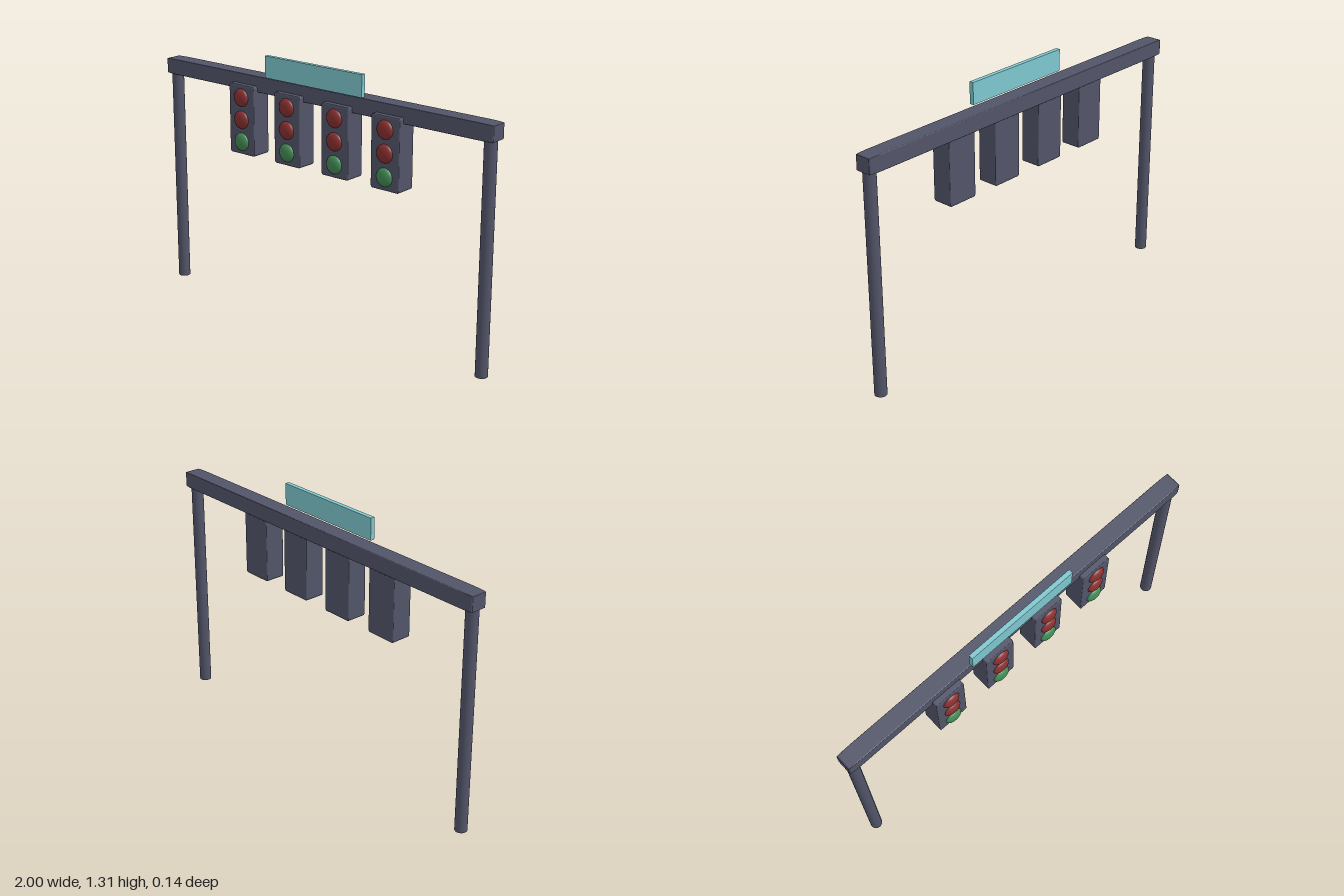
import * as THREE from 'three';
import { RoundedBoxGeometry } from 'three/addons/geometries/RoundedBoxGeometry.js';

const paint = (name, color) => {
  const m = new THREE.MeshStandardMaterial({ color });
  m.name = name;
  return m;
};

export function createModel() {
  const steel = paint('slate steel', 0x525569);
  const red = paint('red lens', 0x8a3030);
  const green = paint('green lens', 0x438a55);
  const teal = paint('teal sign', 0x7fc8d0);

  const root = new THREE.Group();
  root.name = 'signalGantry';

  const add = (parent, name, geometry, material, x, y, z) => {
    const mesh = new THREE.Mesh(geometry, material);
    mesh.name = name;
    mesh.position.set(x, y, z);
    parent.add(mesh);
    return mesh;
  };

  // Softly bevelled block; the bevel stretches with each side
  const block = new RoundedBoxGeometry(1, 1, 1, 2, 0.045);

  // Crossbeam on two round posts
  add(root, 'crossbeam', block, steel, 0, 1.153, -0.025).scale.set(2, 0.08, 0.085);
  const post = new THREE.CylinderGeometry(0.03, 0.03, 1.13, 32);
  for (const [name, side] of [['leftPost', 1], ['rightPost', -1]]) {
    add(root, name, post, steel, side * 0.963, 0.565, -0.023);
  }

  // Sign board standing above the beam
  add(root, 'signBoard', new THREE.BoxGeometry(0.595, 0.108, 0.022), teal, -0.002, 1.253, 0.023);

  // Four signal heads, each with two red lenses over a green one
  const lens = new THREE.SphereGeometry(0.045, 32, 20);
  lens.scale(1, 1, 0.49);
  for (let i = 0; i < 4; i++) {
    const head = new THREE.Group();
    head.name = 'signalHead' + (i + 1);
    head.position.set(-0.448 + i * 0.297, 0.967, 0);
    add(head, 'housing', block, steel, 0, 0, -0.006).scale.set(0.162, 0.352, 0.107);
    add(head, 'upperRedLens', lens, red, 0, 0.112, 0.047);
    add(head, 'lowerRedLens', lens, red, 0, 0, 0.047);
    add(head, 'greenLens', lens, green, 0, -0.112, 0.047);
    root.add(head);
  }

  return root;
}
